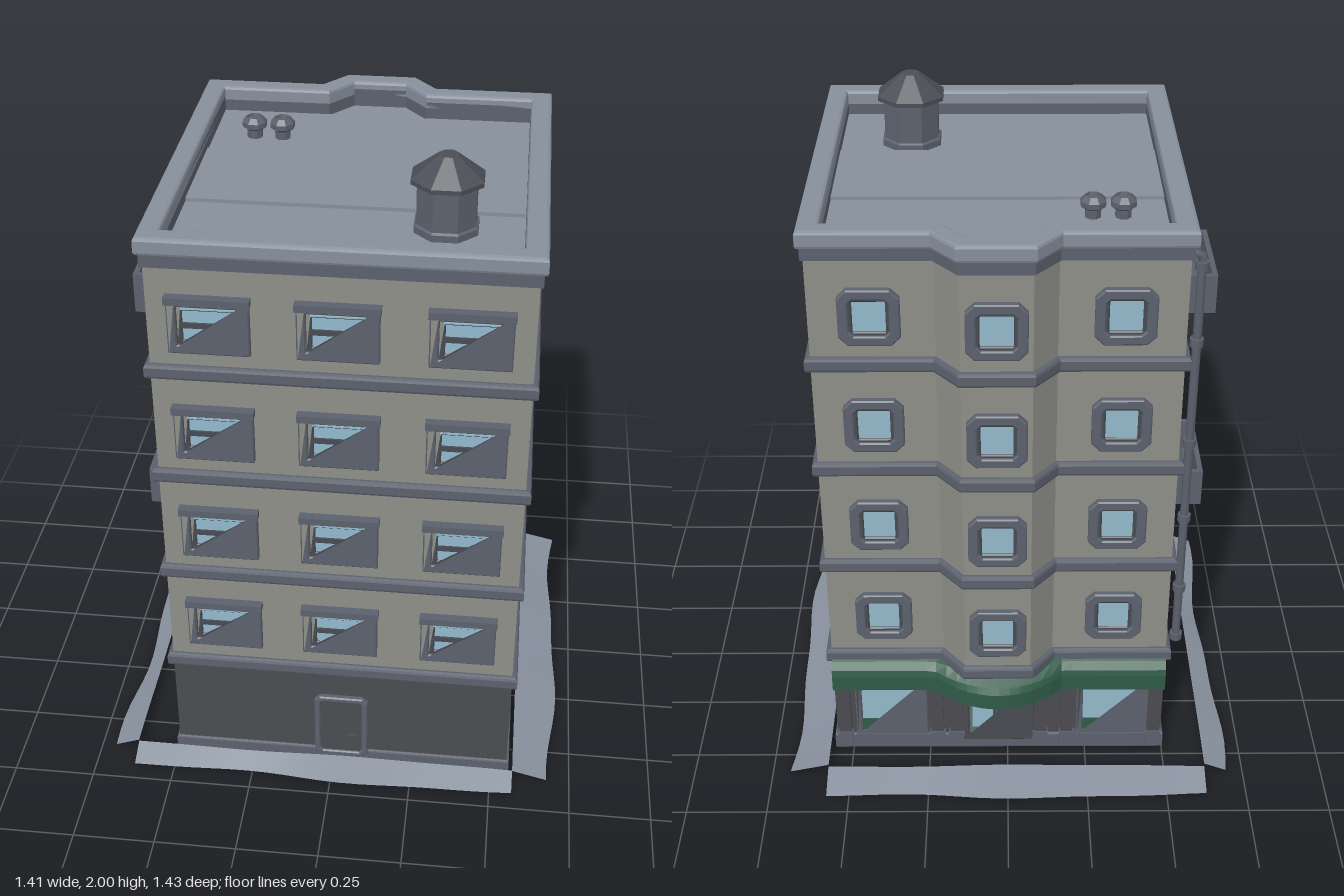
import * as THREE from 'three';

const mat = (color) => new THREE.MeshStandardMaterial({ color });
const WALL = mat(0x8f8f89), BASE = mat(0x4b4c50), TRIM = mat(0x5b616d), ROOF = mat(0x868f9c);
const DARK = mat(0x484b52), GLASS = mat(0x93b9cc), GREEN = mat(0x2f5b47), LOBBY = mat(0x5d6f68);
GREEN.side = THREE.DoubleSide;
const X0 = -0.495, X1 = 0.55, ZF = 0.605, ZB = -0.46, BAY = 0.03, BAYZ = -0.545;
const FLOORS = [0.55, 0.895, 1.245, 1.595], COLUMNS = [-0.325, 0.025, 0.38];

function add(parent, name, geo, material, x = 0, y = 0, z = 0) {
  const m = new THREE.Mesh(geo, material);
  m.name = name;
  m.position.set(x, y, z);
  parent.add(m);
  return m;
}
const box = (p, name, w, h, d, material, x, y, z) =>
  add(p, name, new THREE.BoxGeometry(w, h, d), material, x, y, z);

function group(parent, name, x, y, z, ry = 0) {
  const g = new THREE.Group();
  g.name = name;
  g.position.set(x, y, z);
  g.rotation.y = ry;
  parent.add(g);
  return g;
}

// Plan outline grown by d, with or without the rear bay
function plan(d, bay = true) {
  const k = 0.4 * d;
  const pts = [[X0 - d, -ZF - d], [X1 + d, -ZF - d], [X1 + d, -ZB + d]];
  if (bay) pts.push([BAY + 0.17 + k, -ZB + d], [BAY + 0.1 + k, -BAYZ + d],
    [BAY - 0.1 - k, -BAYZ + d], [BAY - 0.17 - k, -ZB + d]);
  pts.push([X0 - d, -ZB + d]);
  return pts.map(([x, y]) => new THREE.Vector2(x, y));
}

// Horizontal slab from y0 to y1, optionally bevelled or hollow
function slab(parent, name, d, y0, y1, material, { bay = true, bevel = 0, hole = null } = {}) {
  const s = new THREE.Shape(plan(d - bevel, bay));
  if (hole !== null) s.holes.push(new THREE.Path(plan(hole + bevel, bay)));
  const geo = new THREE.ExtrudeGeometry(s, {
    depth: y1 - y0 - 2 * bevel, bevelEnabled: bevel > 0,
    bevelSize: bevel, bevelThickness: bevel, bevelSegments: 2,
  });
  geo.rotateX(-Math.PI / 2);
  return add(parent, name, geo, material, 0, y0 + bevel, 0);
}

// Rectangle with cut corners
function octagon(w, h, c) {
  const a = w / 2, b = h / 2;
  return [[-a + c, -b], [a - c, -b], [a, -b + c], [a, b - c], [a - c, b], [-a + c, b], [-a, b - c], [-a, -b + c]]
    .map(([x, y]) => new THREE.Vector2(x, y));
}
function frame(parent, name, w, h, t, depth, c, material) {
  const s = new THREE.Shape(octagon(w, h, c));
  s.holes.push(new THREE.Path(octagon(w - 2 * t, h - 2 * t, Math.max(c * 0.5, 0.001))));
  const bevel = 0.004;
  const geo = new THREE.ExtrudeGeometry(s, {
    depth: depth - bevel, bevelEnabled: true, bevelSize: bevel, bevelOffset: -bevel,
    bevelThickness: bevel, bevelSegments: 1,
  });
  return add(parent, name, geo, material);
}

function wideWindow(parent, x, y) {
  const g = group(parent, 'frontWindow', x, y, ZF);
  frame(g, 'windowFrame', 0.225, 0.17, 0.026, 0.018, 0.002, TRIM);
  frame(g, 'windowSash', 0.18, 0.13, 0.02, 0.01, 0.002, DARK);
  box(g, 'glass', 0.15, 0.1, 0.004, GLASS, 0, 0, 0.002);
  box(g, 'windowBar', 0.15, 0.016, 0.01, DARK, 0, 0, 0.005);
  box(g, 'windowHood', 0.232, 0.022, 0.03, TRIM, 0, 0.08, 0.013);
}
function squareWindow(parent, x, y, z, ry) {
  const g = group(parent, 'squareWindow', x, y, z, ry);
  frame(g, 'windowFrame', 0.172, 0.172, 0.03, 0.02, 0.026, TRIM);
  frame(g, 'windowSash', 0.12, 0.12, 0.014, 0.01, 0.004, DARK);
  box(g, 'glass', 0.1, 0.1, 0.004, GLASS, 0, 0, 0.002);
}

// Balcony tray with a glazed door behind it, on the right wall
function balcony(parent, y) {
  const g = group(parent, 'balcony', X0, y, 0.068, -Math.PI / 2);
  box(g, 'balconyFloor', 0.31, 0.02, 0.125, TRIM, 0, 0.01, 0.0625);
  box(g, 'balconyFront', 0.315, 0.125, 0.016, TRIM, 0, 0.0625, 0.122);
  for (const s of [-1, 1]) box(g, 'balconySide', 0.016, 0.125, 0.12, TRIM, s * 0.15, 0.0625, 0.06);
  const door = group(g, 'balconyDoor', 0, 0.145, 0);
  frame(door, 'doorFrame', 0.16, 0.27, 0.028, 0.02, 0.012, TRIM);
  box(door, 'glass', 0.11, 0.22, 0.006, GLASS, 0, 0, 0.003);
  box(door, 'doorBar', 0.012, 0.22, 0.012, DARK, 0, 0, 0.006);
}

// Green awning lofted along the rear wall, bowing out around the bay
function awning(parent) {
  const profile = [[0, 0.395], [0.6, 0.378], [0.92, 0.355], [1, 0.335], [1, 0.28], [0, 0.285]];
  const n = 32, rings = [];
  const ring = (x) => {
    const t = (x - BAY) / 0.2;
    const out = -0.505 - 0.09 * Math.max(0, 1 - t * t);
    return profile.map(([s, y]) => [x, y, -0.45 + s * (out + 0.45)]);
  };
  const cap = (x) => profile.map(() => [x, 0.33, -0.47]);
  rings.push(cap(X0));
  for (let i = 0; i <= n; i++) rings.push(ring(X0 + (X1 - X0) * i / n));
  rings.push(cap(X1));
  const pos = [];
  for (let i = 0; i + 1 < rings.length; i++) {
    for (let j = 0; j + 1 < profile.length; j++) {
      const a = rings[i][j], b = rings[i + 1][j], c = rings[i + 1][j + 1], d = rings[i][j + 1];
      pos.push(...a, ...b, ...c, ...a, ...c, ...d);
    }
  }
  const geo = new THREE.BufferGeometry();
  geo.setAttribute('position', new THREE.Float32BufferAttribute(pos, 3));
  geo.computeVertexNormals();
  add(parent, 'awning', geo, GREEN);
}

// Wavy pavement strip, sloping outward
function pavement(parent, ry, mid, length, inner, width, phase) {
  const geo = new THREE.PlaneGeometry(length, 1, 20, 1).rotateX(-Math.PI / 2);
  const p = geo.attributes.position;
  for (let i = 0; i < p.count; i++) {
    const x = p.getX(i), outer = p.getZ(i) > 0;
    const wave = Math.sin(x * 6 + phase) * 0.012 + Math.sin(x * 13 + phase * 2) * 0.005;
    p.setXYZ(i, x + mid, (outer ? 0.014 : 0.042) + wave * 0.3, inner + (outer ? width + wave : 0));
  }
  geo.computeVertexNormals();
  const m = mat(0x868f9c);
  m.side = THREE.DoubleSide;
  add(parent, 'pavement', geo, m).rotation.y = ry;
}

export function createModel() {
  const root = new THREE.Group();
  root.name = 'apartmentBuilding';

  // Storeys, bands and parapet
  slab(root, 'groundFloor', 0, 0, 0.39, BASE, { bay: false });
  slab(root, 'plinth', 0.008, 0, 0.06, TRIM, { bay: false, bevel: 0.006 });
  slab(root, 'upperWalls', 0, 0.385, 1.77, WALL);
  for (const y of [0.37, 0.72, 1.07, 1.42]) slab(root, 'floorBand', 0.016, y, y + 0.046, TRIM, { bevel: 0.01 });
  slab(root, 'parapetWall', 0.008, 1.765, 1.83, TRIM, { hole: -0.045 });
  slab(root, 'parapetCap', 0.018, 1.802, 1.855, ROOF, { hole: -0.045, bevel: 0.01 });

  // Roof panels and the bay roof
  slab(root, 'roofDeck', -0.03, 1.75, 1.774, ROOF);
  for (const [a, b, h] of [[-0.412, -0.107, 0.006], [-0.107, 0.242, 0.014], [0.242, 0.555, 0.006]])
    box(root, 'roofPanel', 0.97, h, b - a - 0.006, ROOF, 0.0275, 1.774 + h / 2, (a + b) / 2);

  // Roof tank and vents
  const lathe = (name, pts, x, z, m) => {
    const geo = new THREE.LatheGeometry(pts.map(([r, y]) => new THREE.Vector2(r, y)), 8, Math.PI / 8);
    const lm = mat(m);
    lm.flatShading = true;
    lm.side = THREE.DoubleSide;
    add(root, name, geo, lm, x, 1.77, z);
  };
  lathe('tankBody', [[0.095, 0], [0.095, 0.03], [0.088, 0.035], [0.088, 0.16]], 0.29, 0.33, 0x5b616d);
  lathe('tankRoof', [[0.085, 0.15], [0.106, 0.155], [0.106, 0.168], [0.028, 0.23], [0, 0.23]], 0.29, 0.33, 0x4b4e56);
  for (const x of [-0.325, -0.24])
    lathe('roofVent', [[0.024, 0], [0.024, 0.035], [0.038, 0.045], [0.038, 0.06], [0.024, 0.075], [0.022, 0.066], [0, 0.066]], x, -0.22, 0x5b616d);

  // Windows on the front, rear and left walls
  for (const y of FLOORS) {
    for (const x of COLUMNS) wideWindow(root, x, y);
    for (const x of [-0.325, 0.38]) squareWindow(root, x, y, ZB, Math.PI);
    squareWindow(root, BAY, y, BAYZ, Math.PI);
  }
  for (const y of [FLOORS[1], FLOORS[3]]) squareWindow(root, X1, y, 0.078, Math.PI / 2);

  // Balconies on the right wall
  for (const y of [0.7, 1.4]) balcony(root, y);

  // Front service door
  const door = group(root, 'frontDoor', 0.027, 0.16, ZF);
  frame(door, 'doorFrame', 0.166, 0.245, 0.018, 0.016, 0.016, TRIM);
  box(door, 'doorLeaf', 0.135, 0.225, 0.008, BASE, 0, -0.004, 0.004);
  box(door, 'doorHandle', 0.03, 0.01, 0.02, DARK, 0.035, -0.035, 0.01);

  // Rear shop front
  const shop = group(root, 'shopFront', 0, 0, ZB, Math.PI);
  for (const x of [-0.37, 0.335]) {
    const w = group(shop, 'shopWindow', x, 0.18, 0);
    frame(w, 'shopFrame', 0.23, 0.24, 0.02, 0.018, 0.002, TRIM);
    box(w, 'glass', 0.2, 0.21, 0.004, GLASS, 0, 0, 0.002);
    box(w, 'lowerPanel', 0.2, 0.05, 0.01, GREEN, 0, -0.08, 0.003);
    box(w, 'shopSill', 0.235, 0.016, 0.026, TRIM, 0, -0.115, 0.01);
  }
  const entry = group(shop, 'shopDoor', -BAY, 0.165, 0);
  frame(entry, 'doorFrame', 0.23, 0.25, 0.022, 0.016, 0.002, DARK);
  for (const s of [-1, 1]) {
    box(entry, 'doorBacking', 0.09, 0.21, 0.004, LOBBY, s * 0.047, 0, 0.001);
    box(entry, 'glass', 0.066, 0.17, 0.006, GLASS, s * 0.05, 0.008, 0.003);
    box(entry, 'doorHandle', 0.008, 0.06, 0.016, DARK, s * 0.012, -0.01, 0.012);
  }
  box(entry, 'doorMullion', 0.012, 0.21, 0.01, DARK, 0, 0, 0.005);
  for (const x of [-0.522, -0.225, -0.165, 0.105, 0.19, 0.468]) {
    box(shop, 'pilaster', 0.04, 0.26, 0.02, BASE, x, 0.18, 0.008);
    box(shop, 'pilasterFoot', 0.048, 0.05, 0.026, TRIM, x, 0.055, 0.01);
  }
  awning(root);

  // Drainpipe with joints and an elbow at the top
  const path = new THREE.CatmullRomCurve3([[-0.53, 0.41], [-0.53, 1], [-0.53, 1.7], [-0.528, 1.755], [-0.49, 1.765]]
    .map(([x, y]) => new THREE.Vector3(x, y, -0.405)));
  add(root, 'drainpipe', new THREE.TubeGeometry(path, 32, 0.013, 8), TRIM);
  for (const y of [0.42, 0.61, 0.875, 1.145, 1.48, 1.72])
    add(root, 'pipeJoint', new THREE.CylinderGeometry(0.02, 0.02, 0.024, 8), TRIM, -0.53, y, -0.405);

  // Pavement on all four sides
  pavement(root, 0, -0.0275, 1.195, 0.63, 0.075, 0.5);
  pavement(root, Math.PI, 0.0275, 1.195, 0.595, 0.105, 1.2);
  pavement(root, Math.PI / 2, -0.02, 1.22, 0.57, 0.12, 2.6);
  pavement(root, -Math.PI / 2, 0.02, 1.22, 0.625, 0.065, 4.0);
  return root;
}
